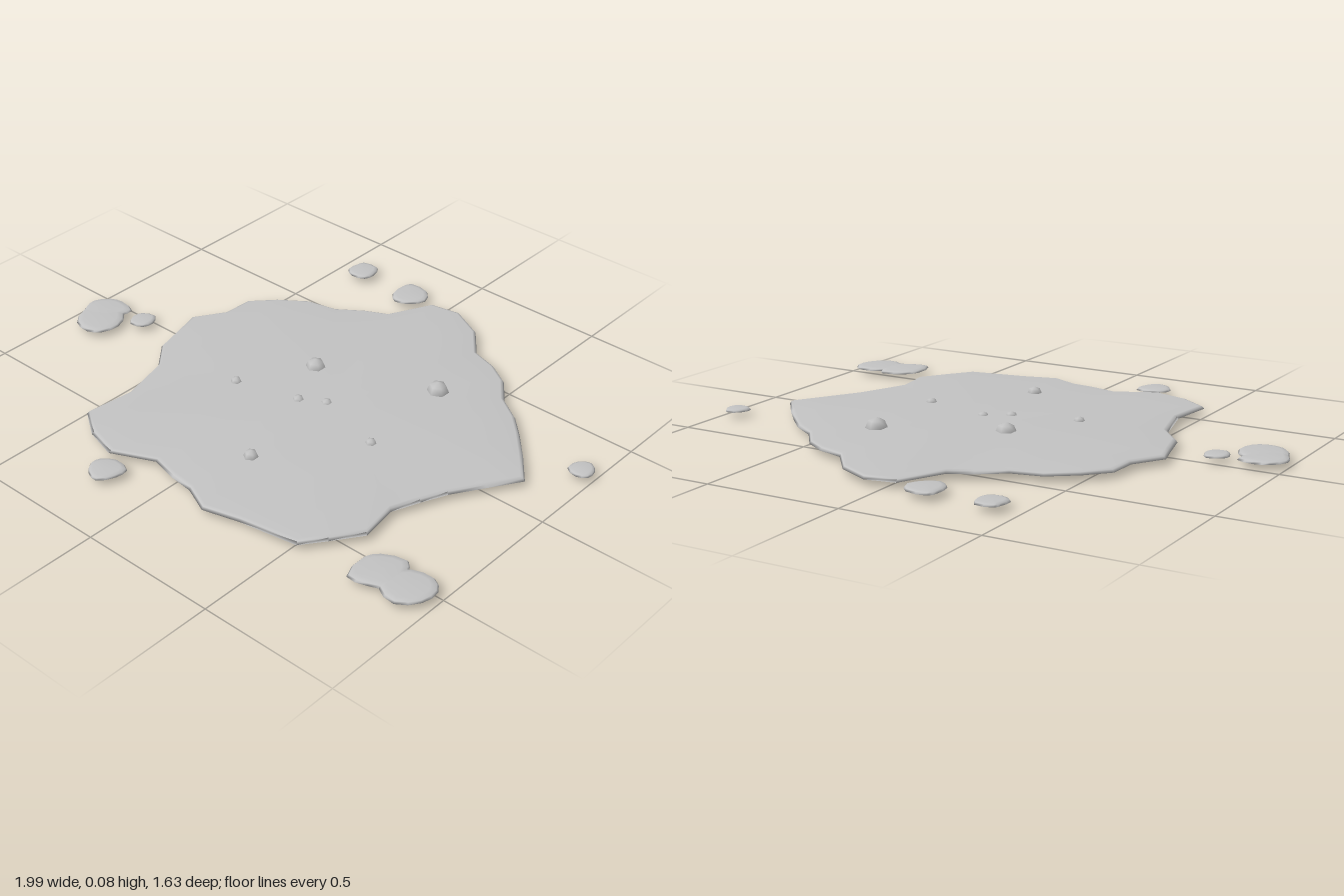
import * as THREE from 'three';

// Puddle rim and droplet rims as x,z pairs, running clockwise seen from above
const PUDDLE = [
  -0.04, -0.75, 0.07, -0.77, 0.19, -0.71, 0.28, -0.6, 0.38, -0.57, 0.46, -0.52, 0.53, -0.43, 0.62, -0.37,
  0.69, -0.3, 0.77, -0.21, 0.85, -0.11, 0.78, 0, 0.71, 0.11, 0.67, 0.2, 0.63, 0.3, 0.65, 0.44,
  0.58, 0.54, 0.52, 0.62, 0.31, 0.655, 0.18, 0.69, 0.08, 0.645, -0.01, 0.635, -0.11, 0.61, -0.26, 0.68,
  -0.38, 0.645, -0.48, 0.575, -0.46, 0.4, -0.51, 0.21, -0.59, 0.115, -0.62, 0, -0.645, -0.09, -0.575, -0.2,
  -0.57, -0.31, -0.495, -0.39, -0.4, -0.46, -0.29, -0.485, -0.2, -0.55, -0.12, -0.59,
];
const DROPLETS = [
  [-0.43, -0.815, -0.365, -0.82, -0.345, -0.77, -0.355, -0.73, -0.405, -0.715, -0.445, -0.74, -0.44, -0.79],
  [-0.195, -0.815, -0.115, -0.81, -0.08, -0.755, -0.115, -0.7, -0.165, -0.68, -0.205, -0.715, -0.21, -0.78],
  [0.92, -0.31, 0.96, -0.33, 0.99, -0.3, 0.99, -0.26, 0.955, -0.24, 0.91, -0.26],
  [-0.8, 0.01, -0.75, -0.01, -0.725, 0.03, -0.735, 0.07, -0.785, 0.085, -0.81, 0.045],
  [-1, 0.07, -0.96, 0.015, -0.91, 0, -0.845, 0.02, -0.85, 0.07, -0.84, 0.14, -0.935, 0.18, -0.985, 0.125],
  [-0.98, 0.135, -0.955, 0.06, -0.85, 0.055, -0.805, 0.125, -0.82, 0.195, -0.865, 0.225, -0.935, 0.21],
  [0.71, 0.525, 0.74, 0.48, 0.825, 0.45, 0.86, 0.5, 0.87, 0.58, 0.805, 0.62, 0.73, 0.63],
  [0.82, 0.525, 0.855, 0.475, 0.935, 0.46, 0.98, 0.5, 0.975, 0.57, 0.915, 0.63, 0.835, 0.605],
  [-0.255, 0.725, -0.205, 0.69, -0.145, 0.705, -0.145, 0.755, -0.18, 0.81, -0.225, 0.8, -0.26, 0.76],
];
// Bubbles: x, z, radius
const BUBBLES = [
  [0.34, -0.3, 0.04], [-0.07, -0.13, 0.038], [0.12, 0.4, 0.027], [0.02, 0.06, 0.022],
  [0.105, 0.01, 0.021], [0.365, 0.085, 0.021], [-0.215, 0.12, 0.021],
];

const toPoints = (flat) =>
  Array.from({ length: flat.length / 2 }, (_, i) => new THREE.Vector2(flat[2 * i], flat[2 * i + 1]));

// Rounds a rim slightly with a closed curve
function smoothRim(points) {
  const curve = new THREE.CatmullRomCurve3(points.map((p) => new THREE.Vector3(p.x, 0, p.y)), true);
  const n = points.length * 2;
  return Array.from({ length: n }, (_, i) => curve.getPoint(i / n)).map((p) => new THREE.Vector2(p.x, p.z));
}

// Low dome over a rim: rings are [scale towards centre, height], then an apex; flat underside
function pool(rim, rings, apex) {
  const n = rim.length;
  const centre = new THREE.Box2().setFromPoints(rim).getCenter(new THREE.Vector2());
  const pos = [], index = [];
  for (const [s, y] of rings) {
    for (const p of rim) pos.push(centre.x + (p.x - centre.x) * s, y, centre.y + (p.y - centre.y) * s);
  }
  pos.push(centre.x, apex, centre.y);
  const top = rings.length * n;
  for (let r = 0; r < rings.length; r++) {
    for (let i = 0; i < n; i++) {
      const a = r * n + i, b = r * n + ((i + 1) % n);
      if (r === rings.length - 1) index.push(top, b, a);
      else index.push(a, a + n, b, b, a + n, b + n);
    }
  }
  // Underside, turned to face down
  for (const [a, b, c] of THREE.ShapeUtils.triangulateShape(rim.slice(), [])) {
    const [p, q, r] = [rim[a], rim[b], rim[c]];
    const up = (q.y - p.y) * (r.x - p.x) - (q.x - p.x) * (r.y - p.y);
    index.push(...(up < 0 ? [a, b, c] : [a, c, b]));
  }
  const g = new THREE.BufferGeometry();
  g.setAttribute('position', new THREE.Float32BufferAttribute(pos, 3));
  g.setIndex(index);
  g.computeVertexNormals();
  return g;
}

export function createModel() {
  const model = new THREE.Group();
  model.name = 'puddle';
  const liquid = new THREE.MeshStandardMaterial({ color: 0xc2c2c2 });
  liquid.name = 'liquid grey';

  const add = (name, geometry) => {
    const mesh = new THREE.Mesh(geometry, liquid);
    mesh.name = name;
    model.add(mesh);
    return mesh;
  };

  // Main pool
  add('mainPool', pool(toPoints(PUDDLE),
    [[1, 0.021], [0.99, 0.03], [0.975, 0.034], [0.8, 0.039], [0.55, 0.044], [0.28, 0.047]], 0.048));

  // Splashed droplets around it
  DROPLETS.forEach((d, i) => add(`droplet${i + 1}`,
    pool(smoothRim(toPoints(d)), [[1, 0.021], [0.93, 0.028], [0.72, 0.031]], 0.032)));

  // Bubbles half sunk in the pool
  BUBBLES.forEach(([x, z, r], i) => {
    const bubble = add(`bubble${i + 1}`, new THREE.SphereGeometry(r, 6, 4));
    bubble.position.set(x, 0.04, z);
    bubble.rotation.y = Math.PI / 6;
  });
  return model;
}
